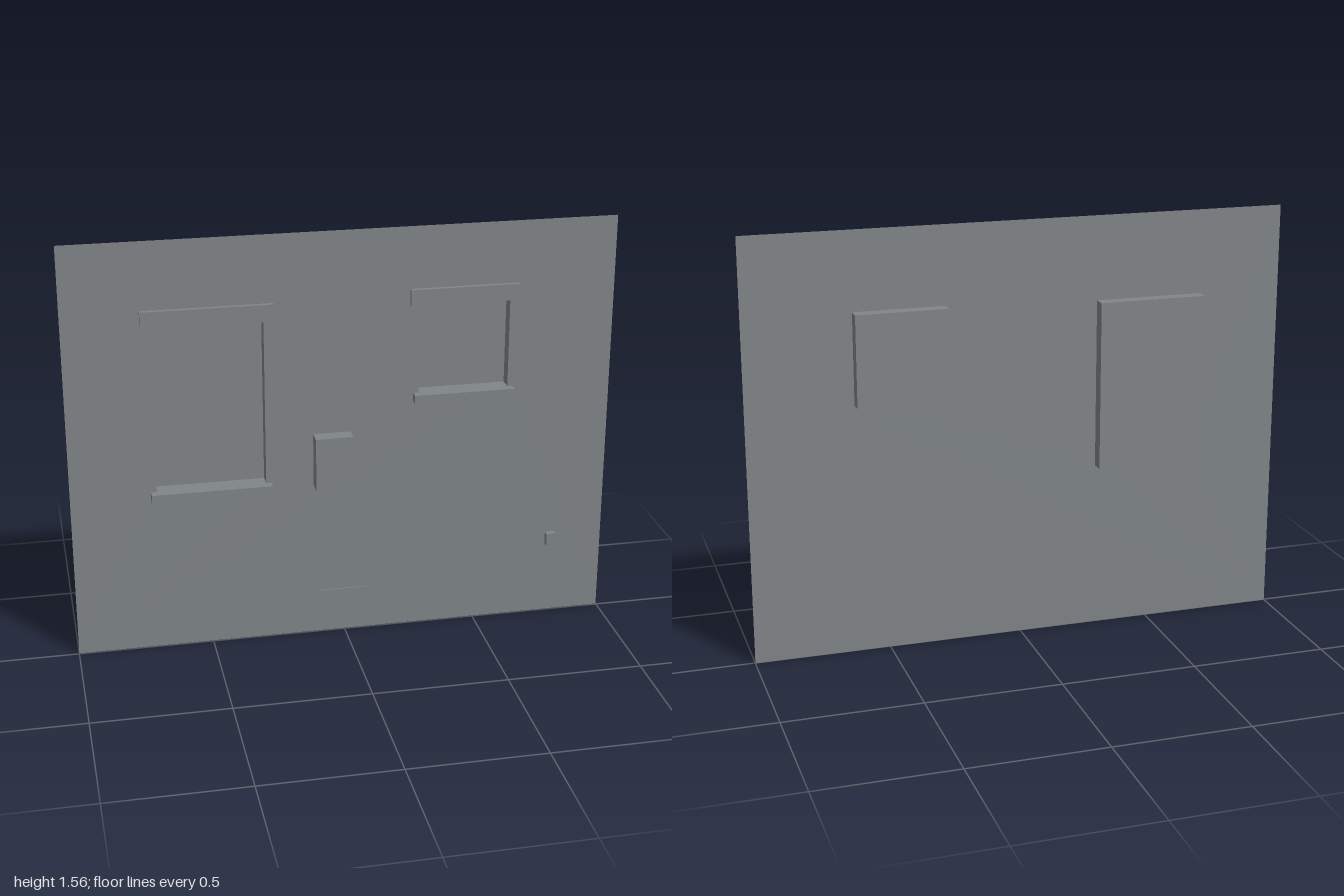
import * as THREE from 'three';

const WALL_Z = -0.004;
const BACK_Z = -0.053;

export function createModel() {
  const model = new THREE.Group();
  model.name = 'houseWall';

  const grey = new THREE.MeshStandardMaterial({ color: 0x808588, side: THREE.DoubleSide });
  grey.name = 'plaster grey';

  function add(name, geometry) {
    const mesh = new THREE.Mesh(geometry, grey);
    mesh.name = name;
    model.add(mesh);
    return mesh;
  }

  // Box spanning x0..x1, y0..y1, z0..z1
  function block(name, x0, x1, y0, y1, z1, z0 = WALL_Z) {
    const mesh = add(name, new THREE.BoxGeometry(x1 - x0, y1 - y0, z1 - z0));
    mesh.position.set((x0 + x1) / 2, (y0 + y1) / 2, (z0 + z1) / 2);
    return mesh;
  }

  const windows = [
    { name: 'tallWindow', hole: [-0.69, -0.29, 0.625, 1.25], lintel: [-0.725, -0.255, 1.247, 1.31], sill: [-0.71, -0.27, 0.59, 0.625] },
    { name: 'smallWindow', hole: [0.275, 0.61, 0.935, 1.27], lintel: [0.24, 0.643, 1.27, 1.33], sill: [0.255, 0.63, 0.905, 0.935] },
  ];

  // Thin wall sheet with window openings
  const sheet = new THREE.Shape();
  sheet.moveTo(-1, 0).lineTo(1, 0).lineTo(1, 1.56).lineTo(-1, 1.56).closePath();
  for (const { hole: [x0, x1, y0, y1] } of windows) {
    const opening = new THREE.Path();
    opening.moveTo(x0, y0).lineTo(x0, y1).lineTo(x1, y1).lineTo(x1, y0).closePath();
    sheet.holes.push(opening);
  }
  add('wall', new THREE.ShapeGeometry(sheet)).position.z = WALL_Z;

  for (const w of windows) {
    // Recess: box without its front face (the fifth side)
    const recess = block(w.name + 'Recess', ...w.hole, WALL_Z, BACK_Z);
    const index = Array.from(recess.geometry.index.array);
    index.splice(24, 6);
    recess.geometry.setIndex(index);
    recess.geometry.clearGroups();

    block(w.name + 'Lintel', ...w.lintel, 0.013);
    block(w.name + 'Sill', ...w.sill, 0.029);
  }

  // Fittings on the front
  block('meterBox', -0.115, 0.023, 0.603, 0.803, 0.053);
  block('ventPlate', -0.09, 0.088, 0.083, 0.17, 0);
  block('outletBox', 0.78, 0.815, 0.28, 0.33, 0.019);

  return model;
}
